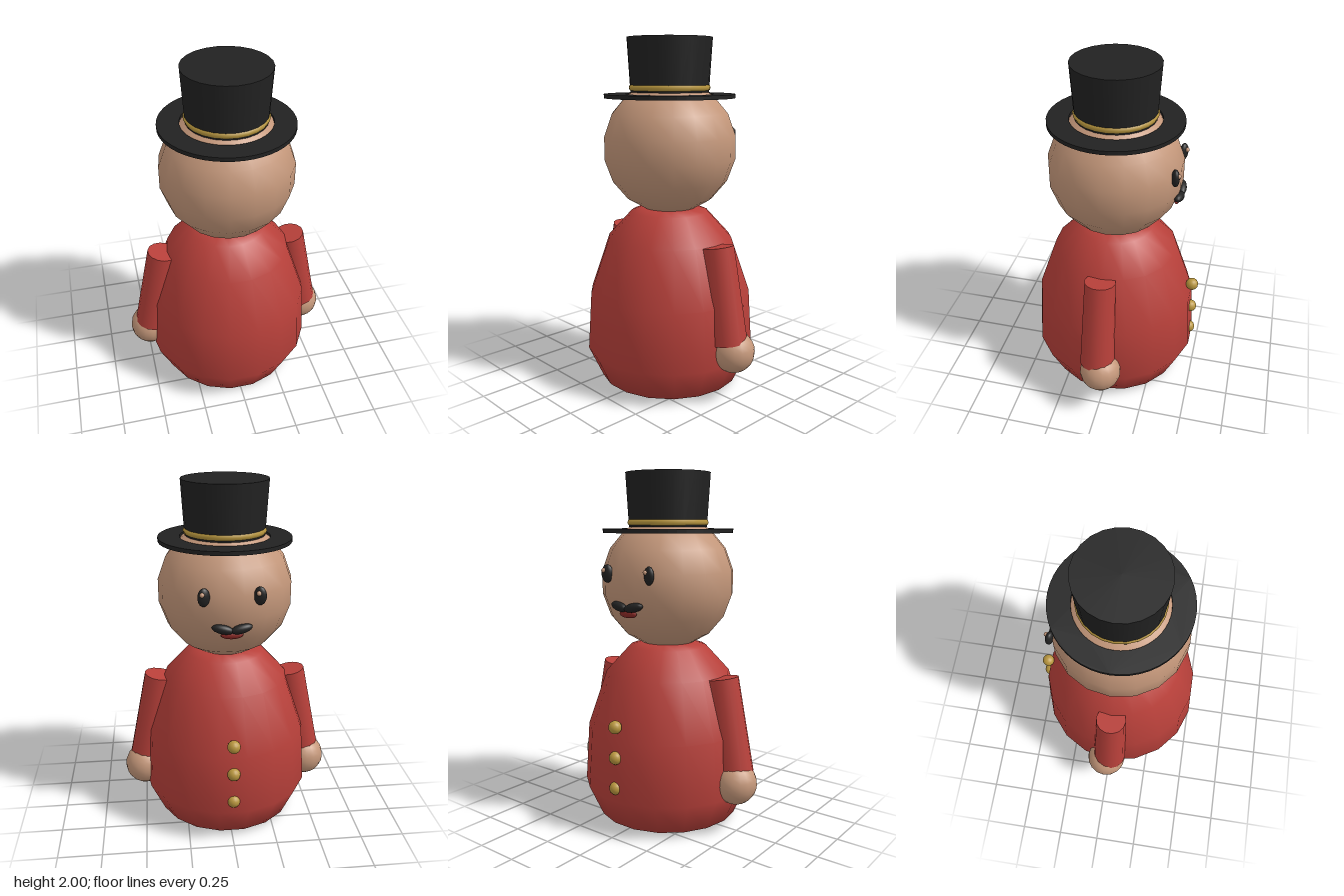
import * as THREE from 'three';

const paint = (name, color) => {
  const m = new THREE.MeshStandardMaterial({ color });
  m.name = name;
  return m;
};

export function createModel() {
  const red = paint('coat red', 0xb8403a);
  const skin = paint('skin', 0xc4977a);
  const black = paint('black', 0x222222);
  const gold = paint('gold', 0xb8963e);
  const darkRed = paint('dark red', 0x8a2a26);

  // The whole figure turns about an axis slightly behind the origin
  const AXIS_Z = 0.01;
  const model = new THREE.Group();
  model.name = 'figure';

  const add = (name, geometry, material, x, y, z) => {
    const mesh = new THREE.Mesh(geometry, material);
    mesh.name = name;
    mesh.position.set(x, y, z);
    model.add(mesh);
    return mesh;
  };
  const ellipsoid = (name, material, [x, y, z], [rx, ry, rz], w = 16, h = 12) => {
    const mesh = add(name, new THREE.SphereGeometry(1, w, h), material, x, y, z);
    mesh.scale.set(rx, ry, rz);
    return mesh;
  };

  // Bell-shaped coat
  const profile = [[0, 0.03], [0.41, 0.03], [0.492, 0.21], [0.47, 0.55], [0.36, 0.87], [0.223, 1.02], [0.147, 1.045], [0, 1.045]];
  add('coat', new THREE.LatheGeometry(profile.map(([r, y]) => new THREE.Vector2(r, y)), 18, Math.PI / 18),
    red, 0, 0, AXIS_Z);

  // Head
  ellipsoid('head', skin, [0, 1.39, AXIS_Z], [0.382, 0.382, 0.382], 18, 9);

  // Hat: open brim ring, crown and band
  const ring = new THREE.Shape().absarc(0, 0, 0.37, 0, Math.PI * 2);
  ring.holes.push(new THREE.Path().absarc(0, 0, 0.25, 0, Math.PI * 2, true));
  const brim = new THREE.ExtrudeGeometry(ring, { depth: 0.022, bevelEnabled: false, curveSegments: 24 });
  brim.rotateX(-Math.PI / 2);
  add('hatBrim', brim, black, 0, 1.668, AXIS_Z);
  add('hatCrown', new THREE.CylinderGeometry(0.24, 0.222, 0.3, 24), black, 0, 1.85, AXIS_Z);
  const band = new THREE.TorusGeometry(0.211, 0.02, 8, 24);
  band.rotateX(Math.PI / 2);
  add('hatBand', band, gold, 0, 1.725, AXIS_Z);

  // Mirrored parts
  for (const s of [-1, 1]) {
    const side = s > 0 ? 'left' : 'right';

    const arm = add(side + 'Arm', new THREE.CylinderGeometry(0.088, 0.102, 0.54, 14), red, s * 0.434, 0.608, AXIS_Z);
    arm.rotation.z = s * 0.175;
    ellipsoid(side + 'Hand', skin, [s * 0.495, 0.29, -0.01], [0.12, 0.12, 0.12]);
    ellipsoid(side + 'Foot', red, [s * 0.19, 0.1, -0.09], [0.16, 0.1, 0.2]);

    ellipsoid(side + 'Eye', black, [s * 0.147, 1.45, -0.343], [0.034, 0.05, 0.022]).rotation.y = s * 0.3;
    ellipsoid(side + 'EyeGlint', skin, [s * 0.147 + 0.01, 1.468, -0.362], [0.013, 0.013, 0.013], 10, 8);

    const lobe = ellipsoid(side + 'Moustache', black, [s * 0.05, 1.277, -0.357], [0.06, 0.025, 0.026]);
    lobe.rotation.set(0, s * -0.12, s * 0.2);
  }

  // Mouth below the moustache
  ellipsoid('mouth', darkRed, [0, 1.238, -0.342], [0.06, 0.022, 0.018]);

  // Coat buttons
  for (const y of [0.63, 0.455, 0.28]) {
    ellipsoid('button', gold, [0, y, -0.461], [0.037, 0.037, 0.037], 14, 10);
  }

  return model;
}
